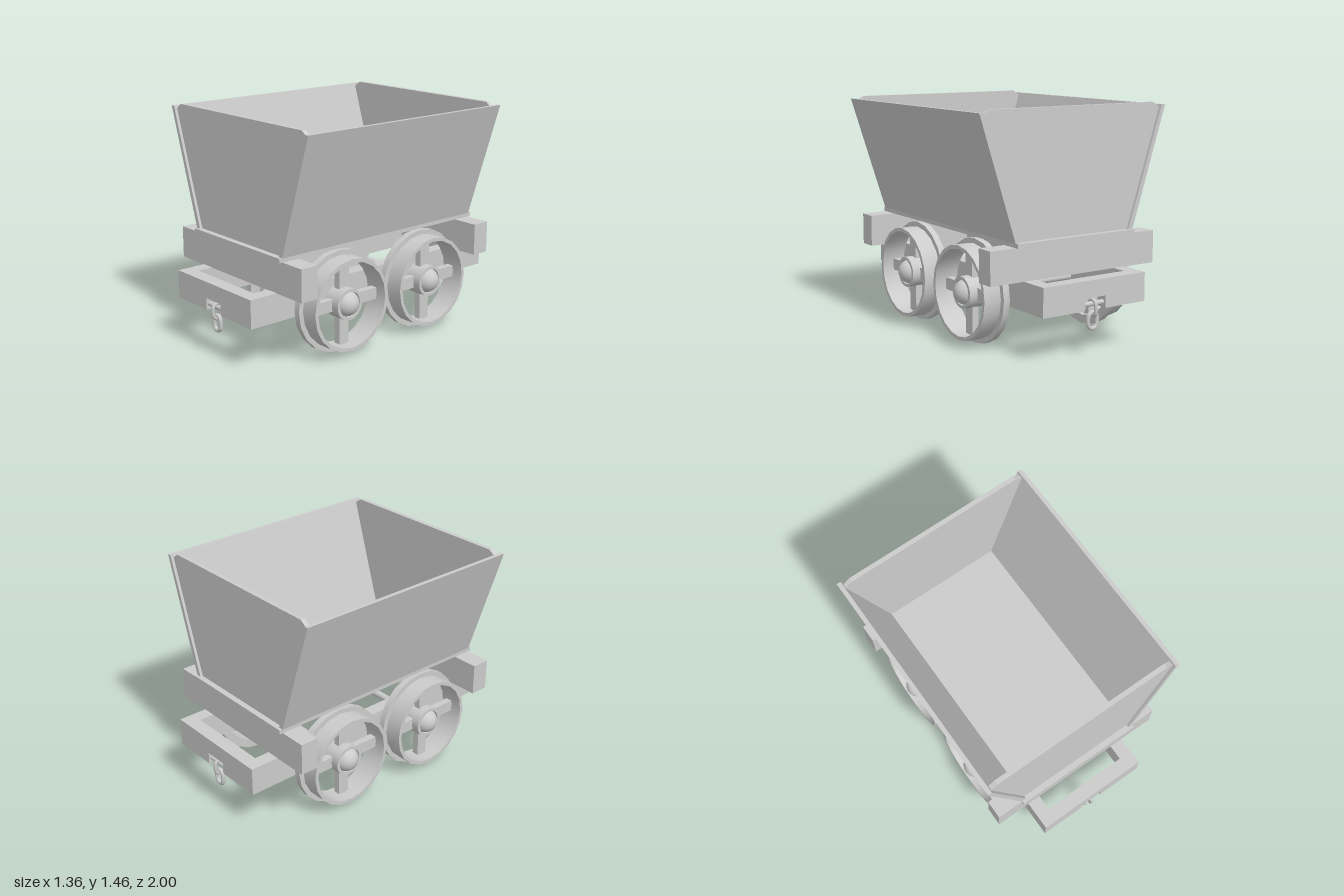
import * as THREE from 'three';
import { toCreasedNormals } from 'three/addons/utils/BufferGeometryUtils.js';

const material = new THREE.MeshStandardMaterial({ color: 0xcccccc });

function add(parent, name, geometry, x = 0, y = 0, z = 0) {
  const mesh = new THREE.Mesh(geometry, material);
  mesh.name = name;
  mesh.position.set(x, y, z);
  parent.add(mesh);
  return mesh;
}

// Box given by its lower and upper limits
function box(parent, name, x0, x1, y0, y1, z0, z1) {
  return add(parent, name, new THREE.BoxGeometry(x1 - x0, y1 - y0, z1 - z0),
    (x0 + x1) / 2, (y0 + y1) / 2, (z0 + z1) / 2);
}

// Outline in the x/y plane, pushed from z0 to z1
function slab(parent, name, points, z0, z1) {
  const shape = new THREE.Shape(points.map(([x, y]) => new THREE.Vector2(x, y)));
  return add(parent, name, new THREE.ExtrudeGeometry(shape, { depth: z1 - z0, bevelEnabled: false }), 0, 0, z0);
}

// Oval chain link standing in the x/y plane
function linkGeometry(halfWidth, halfHeight, wire) {
  const r = halfWidth - wire;
  const straight = halfHeight - halfWidth;
  const points = [];
  for (let i = 0; i < 16; i++) {
    const a = ((i + 0.5) / 16) * Math.PI * 2;
    points.push(new THREE.Vector3(Math.cos(a) * r, Math.sin(a) * r + Math.sign(Math.sin(a)) * straight, 0));
  }
  return new THREE.TubeGeometry(new THREE.CatmullRomCurve3(points, true), 40, wire, 10, true);
}

// Wheel whose axis is x, with its outer face toward +x
function createWheel() {
  const wheel = new THREE.Group();
  wheel.name = 'wheel';
  const turned = (name, profile, segments) => {
    const geometry = new THREE.LatheGeometry(profile.map(([r, x]) => new THREE.Vector2(r, x)), segments);
    add(wheel, name, toCreasedNormals(geometry, 0.6)).rotation.z = -Math.PI / 2;
  };
  turned('flangedRim', [[0.272, 0.395], [0.327, 0.395], [0.327, 0.438], [0.295, 0.438],
    [0.295, 0.553], [0.272, 0.553], [0.272, 0.395]], 20);
  turned('hub', [[0, 0.41], [0.1, 0.41], [0.1, 0.53], [0.08, 0.53], [0.08, 0.49], [0, 0.49]], 24);
  add(wheel, 'hubCap', new THREE.SphereGeometry(0.08, 24, 16), 0.494);
  for (let i = 0; i < 4; i++) {
    const arm = new THREE.Group();
    arm.name = 'spoke';
    arm.rotation.x = (i * Math.PI) / 2;
    box(arm, 'spokeBar', 0.43, 0.475, 0.085, 0.28, -0.038, 0.038);
    wheel.add(arm);
  }
  return wheel;
}

// Beam with a pocket, pin and two links, placed at the +z end
function createFrameEnd() {
  const end = new THREE.Group();
  end.name = 'frameEnd';
  slab(end, 'endBeam', [[-0.378, 0.28], [-0.075, 0.28], [-0.075, 0.355], [0.075, 0.355],
    [0.075, 0.28], [0.378, 0.28], [0.378, 0.46], [-0.378, 0.46]], 0.91, 0.983);
  box(end, 'beamBacking', -0.378, 0.378, 0.28, 0.46, 0.892, 0.91);
  add(end, 'couplingPin', new THREE.CylinderGeometry(0.015, 0.015, 0.15, 14), 0, 0.313, 0.957)
    .rotation.z = Math.PI / 2;
  add(end, 'upperLink', linkGeometry(0.043, 0.06, 0.012), 0, 0.287, 0.957).rotation.y = Math.PI / 2;
  add(end, 'lowerLink', linkGeometry(0.045, 0.062, 0.013), 0, 0.21, 0.957);
  return end;
}

export function createModel() {
  const cart = new THREE.Group();
  cart.name = 'mineCart';

  // Tub: floor, sloping sides and end panels
  box(cart, 'tubFloor', -0.435, 0.435, 0.663, 0.69, -0.813, 0.813);
  for (const s of [1, -1]) {
    const side = slab(cart, 'tubSide', [[0.405, 0.688], [0.437, 0.688], [0.682, 1.447], [0.655, 1.447]], -0.793, 0.793);
    if (s < 0) {
      side.rotation.y = Math.PI;
      side.position.z = 0.793;
    }
    slab(cart, 'tubEnd', [[-0.407, 0.688], [0.407, 0.688], [0.648, 1.432], [0.603, 1.463],
      [-0.603, 1.463], [-0.648, 1.432]], s * 0.76 - 0.015, s * 0.76 + 0.015);
  }

  // Chassis: cross beams, side rails and coupled ends
  for (const s of [1, -1]) {
    box(cart, 'crossBeam', -0.61, 0.61, 0.458, 0.663, s * 0.73 - 0.06, s * 0.73 + 0.06);
    box(cart, 'sideRail', s * 0.334 - 0.044, s * 0.334 + 0.044, 0.28, 0.46, -0.892, 0.892);
    const end = createFrameEnd();
    end.rotation.y = s > 0 ? 0 : Math.PI;
    cart.add(end);
  }

  // Two axles with a wheel at each end
  for (const z of [0.347, -0.347]) {
    add(cart, 'axle', new THREE.CylinderGeometry(0.024, 0.024, 0.84, 16), 0, 0.327, z).rotation.z = Math.PI / 2;
    for (const s of [1, -1]) {
      const wheel = createWheel();
      wheel.position.set(0, 0.327, z);
      wheel.rotation.y = s > 0 ? 0 : Math.PI;
      cart.add(wheel);
    }
  }
  return cart;
}
